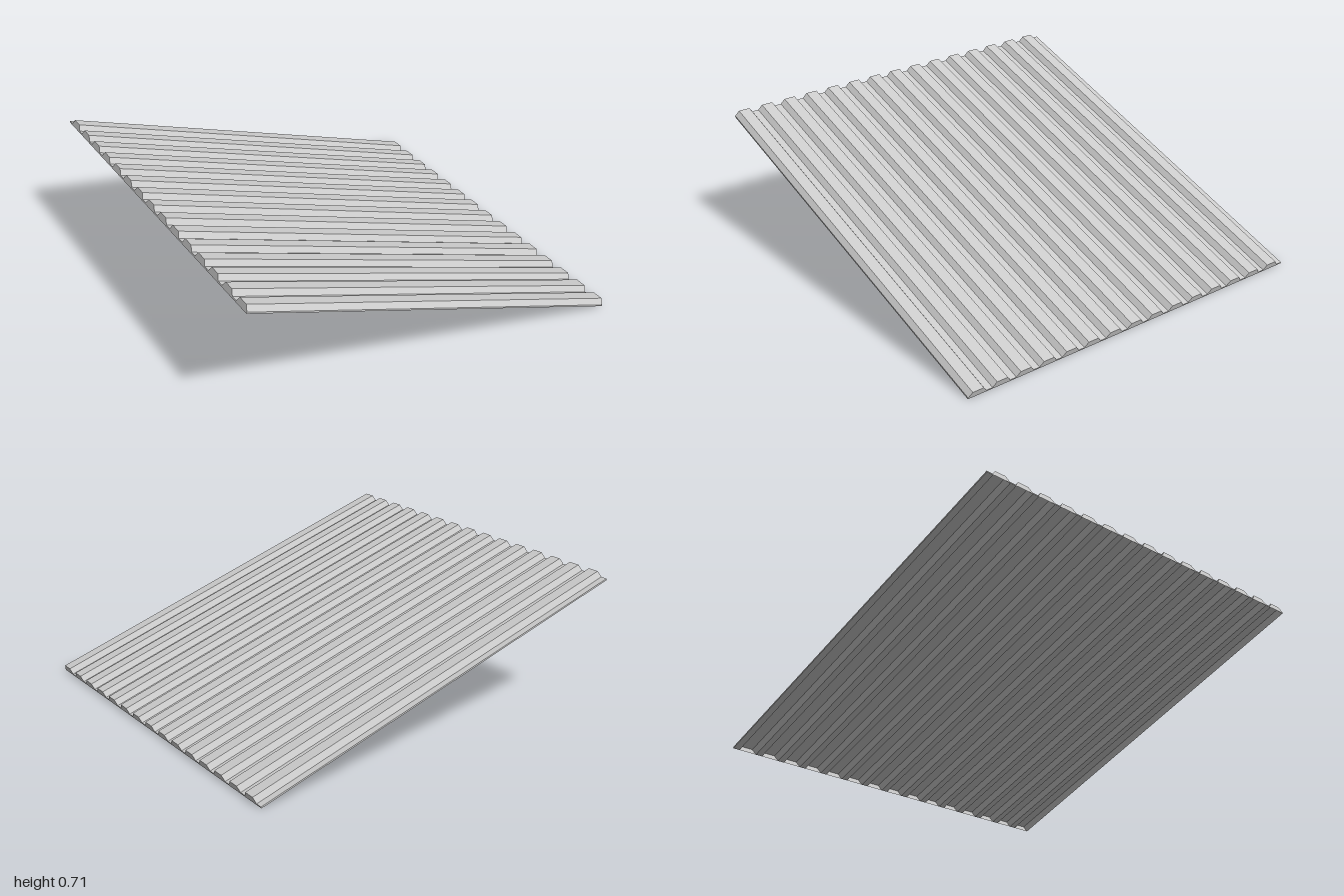
import * as THREE from 'three';

const RIBS = 15, WIDTH = 1.994, PITCH = WIDTH / RIBS;
const VALLEY = 0.035, SLOPE = 0.019;   // flat between ribs, run of each rib side
const RISE = 0.027, THICK = 0.008;     // rib height and sheet thickness
const LENGTH = 2.099, TILT = THREE.MathUtils.degToRad(18.67);

// Corners of one rib: [z, y] along the sheet's underside
function ribCorners(i) {
  const z = -WIDTH / 2 + i * PITCH;
  return [
    [z + VALLEY, 0],
    [z + VALLEY + SLOPE, RISE],
    [z + PITCH - SLOPE, RISE],
    [z + PITCH, 0],
  ];
}

const toShape = (pts) => new THREE.Shape(pts.map(([z, y]) => new THREE.Vector2(z, y)));

export function createModel() {
  const material = new THREE.MeshStandardMaterial({
    color: 0xcccccc, flatShading: true, side: THREE.DoubleSide,
  });
  const model = new THREE.Group();
  model.name = 'corrugatedRoof';

  const panel = new THREE.Group();
  panel.name = 'tiltedPanel';

  // Corrugated sheet: underside profile and the same profile raised by the thickness
  const under = [[-WIDTH / 2, 0]];
  for (let i = 0; i < RIBS; i++) under.push(...ribCorners(i));
  const over = under.map(([z, y]) => [z, y + THICK]).reverse();
  const sheetGeometry = new THREE.ExtrudeGeometry(toShape([...under, ...over]), {
    depth: LENGTH, bevelEnabled: false,
  });
  sheetGeometry.translate(0, 0, -LENGTH / 2).rotateY(-Math.PI / 2);
  const sheet = new THREE.Mesh(sheetGeometry, material);
  sheet.name = 'corrugatedSheet';
  panel.add(sheet);

  // End caps closing the rib channels at the high and low ends
  const ribShapes = Array.from({ length: RIBS }, (_, i) => toShape(ribCorners(i)));
  for (const [name, side] of [['lowEndCaps', 1], ['highEndCaps', -1]]) {
    const geometry = new THREE.ShapeGeometry(ribShapes);
    geometry.rotateY(-Math.PI / 2).translate(side * LENGTH / 2, 0, 0);
    const caps = new THREE.Mesh(geometry, material);
    caps.name = name;
    panel.add(caps);
  }

  // Tilt about the panel's middle so its low edge rests on the ground
  const height = RISE + THICK;
  panel.children.forEach((part) => { part.position.y = -height / 2; });
  panel.rotation.z = -TILT;
  panel.position.y = (LENGTH * Math.sin(TILT) + height * Math.cos(TILT)) / 2;
  model.add(panel);
  return model;
}
